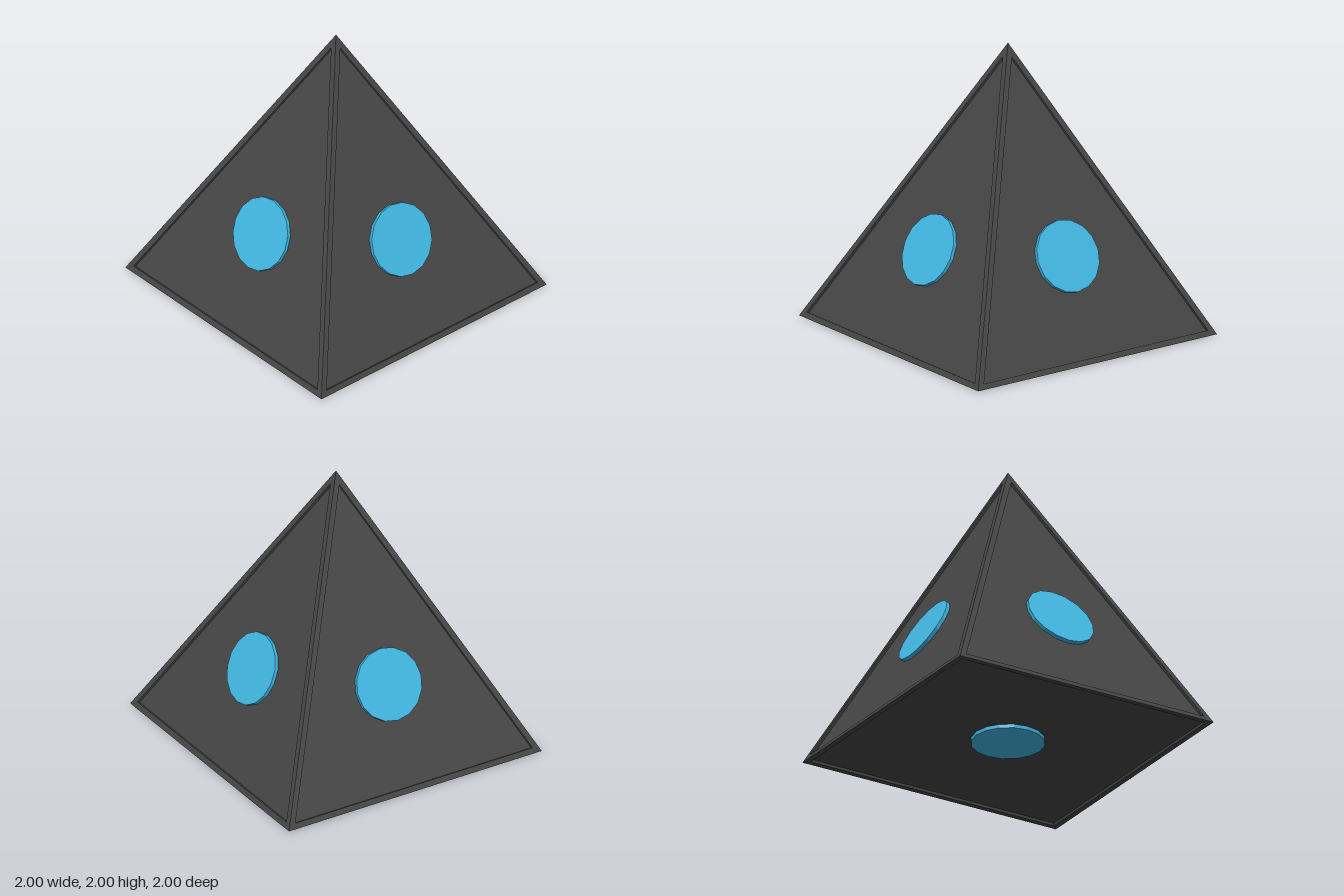
import * as THREE from 'three';

const BORDER = 0.04, RECESS = 0.02, DISC_RADIUS = 0.25, PROUD = 0.006;

const dark = new THREE.MeshStandardMaterial({ color: 0x464646, flatShading: true });
const blue = new THREE.MeshStandardMaterial({ color: 0x41b8e4, flatShading: true });

// Flat-shaded mesh from convex polygons (corners counter-clockwise from outside)
function polygonMesh(name, polygons) {
  const points = [];
  for (const p of polygons) {
    for (let i = 1; i < p.length - 1; i++) points.push(p[0], p[i], p[i + 1]);
  }
  const geometry = new THREE.BufferGeometry().setFromPoints(points);
  geometry.computeVertexNormals();
  const mesh = new THREE.Mesh(geometry, dark);
  mesh.name = name;
  return mesh;
}

// Moves every edge of a polygon inwards by the same width
function insetPolygon(corners, width) {
  const n = corners.length;
  return corners.map((p, i) => {
    const into = p.clone().sub(corners[(i + n - 1) % n]).normalize();
    const out = corners[(i + 1) % n].clone().sub(p).normalize();
    const sine = into.clone().cross(out).length();
    return p.clone().add(out.sub(into).multiplyScalar(width / sine));
  });
}

// One face: raised border, sunken panel and a round disc
function createFace(name, corners, centre) {
  const face = new THREE.Group();
  face.name = name;
  const normal = new THREE.Vector3()
    .crossVectors(corners[1].clone().sub(corners[0]), corners[2].clone().sub(corners[0])).normalize();
  const inner = insetPolygon(corners, BORDER);
  const sunk = inner.map((p) => p.clone().addScaledVector(normal, -RECESS));

  const border = [];
  corners.forEach((p, i) => {
    const j = (i + 1) % corners.length;
    border.push([p, corners[j], inner[j], inner[i]]);
    border.push([inner[i], inner[j], sunk[j], sunk[i]]);
  });
  face.add(polygonMesh('border', border), polygonMesh('panel', [sunk]));

  // Disc starts slightly behind the panel and stands just proud of the border
  const height = RECESS + PROUD + 0.02;
  const disc = new THREE.Mesh(new THREE.CylinderGeometry(DISC_RADIUS, DISC_RADIUS, height, 16), blue);
  disc.name = 'disc';
  disc.quaternion.setFromUnitVectors(new THREE.Vector3(0, 1, 0), normal);
  disc.position.copy(centre).addScaledVector(normal, PROUD - height / 2);
  face.add(disc);
  return face;
}

export function createModel() {
  const model = new THREE.Group();
  model.name = 'pyramid';
  const y = PROUD;
  const apex = new THREE.Vector3(0, 2, 0);
  const base = [[-1, 1], [1, 1], [1, -1], [-1, -1]].map(([x, z]) => new THREE.Vector3(x, y, z));

  // Four sloping sides
  ['frontFace', 'leftFace', 'backFace', 'rightFace'].forEach((name, i) => {
    const corners = [base[i], base[(i + 1) % 4], apex];
    const centre = new THREE.Vector3();
    corners.forEach((p) => centre.addScaledVector(p, 1 / 3));
    model.add(createFace(name, corners, centre));
  });

  // Underside
  model.add(createFace('bottomFace', [...base].reverse(), new THREE.Vector3(0, y, 0)));
  return model;
}
